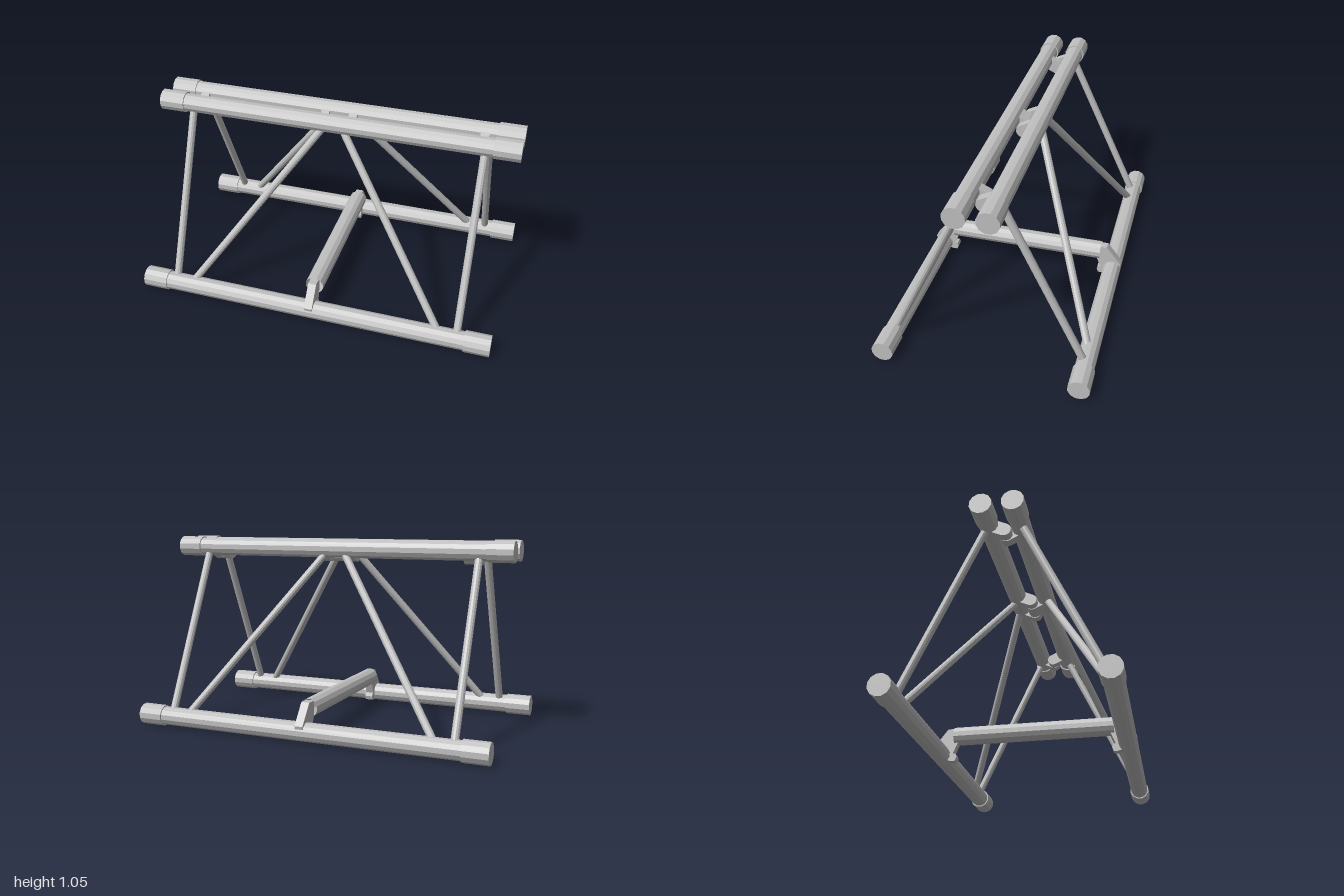
import * as THREE from 'three';

const steel = new THREE.MeshStandardMaterial({ color: 0xc0c0c0, flatShading: true });
steel.name = 'steel grey';
const openSteel = steel.clone();
openSteel.side = THREE.DoubleSide;

const TOP = { y: 1.0, z: 0.081 };
const BOTTOM = { y: 0.061, z: 0.523 };

// Faceted tube between two points
function tube(name, a, b, radius, sides, open = false) {
  const dir = b.clone().sub(a);
  const geo = new THREE.CylinderGeometry(radius, radius, dir.length(), sides, 1, open);
  geo.rotateY(Math.PI / sides);
  const mesh = new THREE.Mesh(geo, open ? openSteel : steel);
  mesh.quaternion.setFromUnitVectors(new THREE.Vector3(0, 1, 0), dir.normalize());
  mesh.position.copy(a).add(b).multiplyScalar(0.5);
  mesh.name = name;
  return mesh;
}

// Plate drawn in the z-y plane, with its thickness along x
function plate(name, shape, width, x) {
  const geo = new THREE.ExtrudeGeometry(shape, { depth: width, bevelEnabled: false, curveSegments: 8 });
  geo.translate(0, 0, -width / 2);
  geo.rotateY(-Math.PI / 2);
  const mesh = new THREE.Mesh(geo, steel);
  mesh.position.x = x;
  mesh.name = name;
  return mesh;
}

const V = (x, y, z) => new THREE.Vector3(x, y, z);

// Hinge lug: round at the pivot, running out to one top chord
function lugShape(side) {
  const r = 0.036, py = 0.961, pts = [];
  const angle = Math.atan2(TOP.y - py, TOP.z);
  for (let i = 0; i <= 8; i++) {
    const t = angle + Math.PI / 2 + (i / 8) * Math.PI;
    pts.push([r * Math.cos(t), py + r * Math.sin(t)]);
  }
  for (const s of [-1, 1]) {
    pts.push([TOP.z - s * r * Math.sin(angle), TOP.y + s * r * Math.cos(angle)]);
  }
  return new THREE.Shape(pts.map(([z, y]) => new THREE.Vector2(z * side, y)));
}

// Clamp hooked over a bottom chord
function clampShape(side) {
  const pts = [
    [0.43, 0.21], [0.487, 0.21], [0.572, 0.1], [0.56, 0.05], [0.5, 0.028],
    [0.46, 0.02], [0.442, 0.022], [0.434, 0.045], [0.44, 0.062], [0.455, 0.065], [0.43, 0.125],
  ];
  return new THREE.Shape(pts.map(([z, y]) => new THREE.Vector2(z * side, y)));
}

export function createModel() {
  const model = new THREE.Group();
  model.name = 'trussSection';

  for (const side of [1, -1]) {
    const frame = new THREE.Group();
    frame.name = side > 0 ? 'frontFrame' : 'backFrame';
    model.add(frame);

    // Long chords with thicker end sleeves
    for (const [label, p] of [['top', TOP], ['bottom', BOTTOM]]) {
      const z = p.z * side;
      frame.add(tube(label + 'Chord', V(-0.95, p.y, z), V(0.95, p.y, z), 0.0515, 12));
      for (const s of [1, -1]) {
        frame.add(tube(label + 'EndSleeve', V(s * 0.86, p.y, z), V(s, p.y, z), 0.0585, 12));
      }
    }

    // Upright and diagonal braces between the chords
    for (const s of [1, -1]) {
      frame.add(tube('uprightBrace',
        V(s * 0.815, BOTTOM.y, BOTTOM.z * side), V(s * 0.815, TOP.y, TOP.z * side), 0.021, 12));
      frame.add(tube('diagonalBrace',
        V(s * 0.728, BOTTOM.y, BOTTOM.z * side), V(s * 0.037, TOP.y, TOP.z * side), 0.021, 12));
    }

    frame.add(plate('crossbarClamp', clampShape(side), 0.046, 0));
  }

  // Hinge lugs joining the two top chords
  model.add(plate('middleHingeLug', lugShape(1), 0.096, 0));
  for (const s of [1, -1]) {
    model.add(plate('middleOuterHingeLug', lugShape(-1), 0.046, s * 0.078));
    model.add(plate('endInnerHingeLug', lugShape(1), 0.048, s * 0.741));
    model.add(plate('endOuterHingeLug', lugShape(-1), 0.048, s * 0.795));
  }

  // Crossbar spreading the bottom chords, open at both ends
  model.add(tube('crossbar', V(0, 0.171, -0.45), V(0, 0.171, 0.45), 0.0515, 12, true));

  return model;
}
